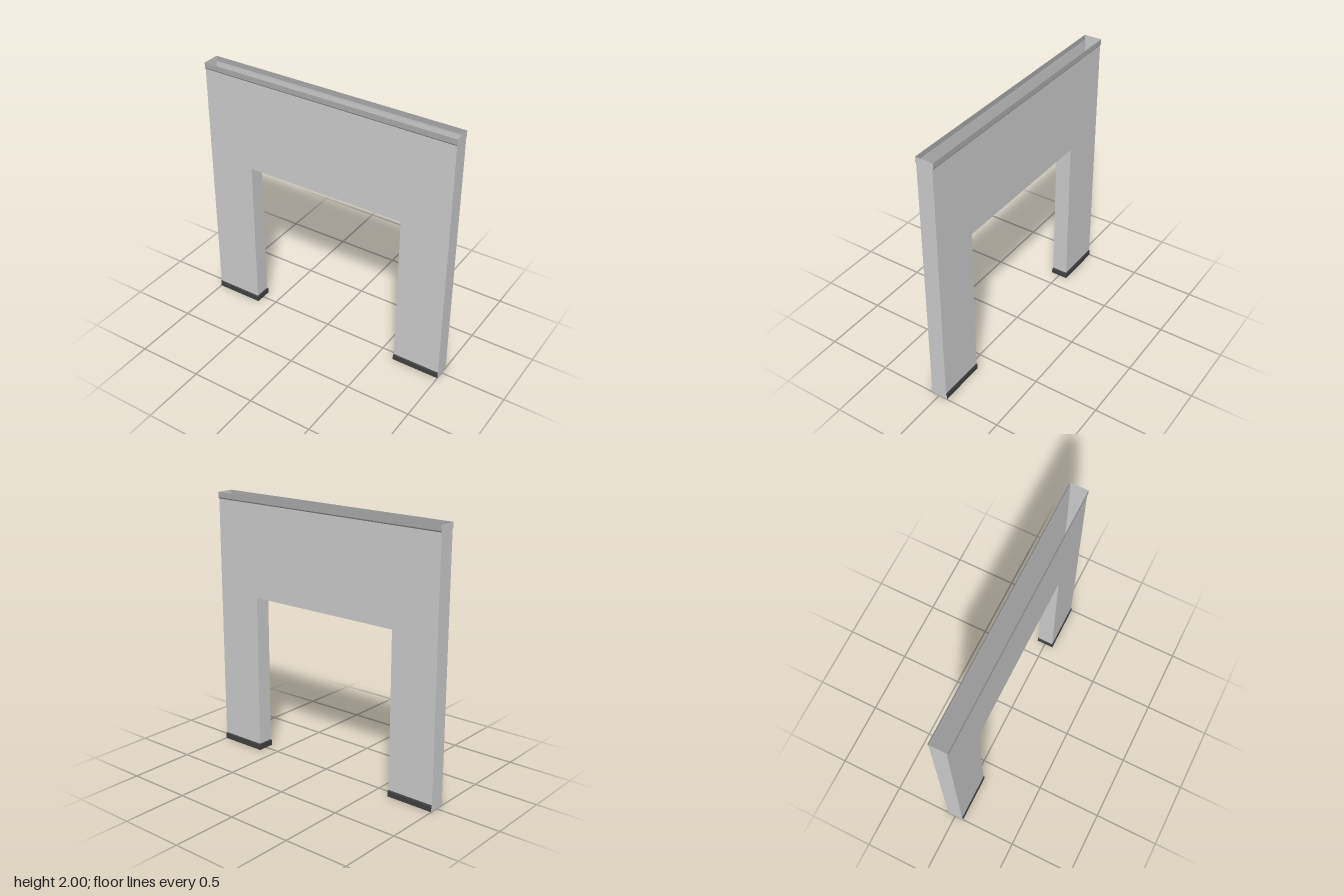
import * as THREE from 'three';

const WALL = 0.062, BAND = 0.068;       // half depths of wall and trim
const LEG = 0.63, ARCH = 1.24;          // opening half width and height
const TRIM = 0.05, BEVEL = 0.01;        // trim height and its bevel

const material = (color) =>
  new THREE.MeshStandardMaterial({ color, side: THREE.DoubleSide, flatShading: true });

// Open sheet through rows of [x, y, z] points
function sheet(name, mat, rows) {
  const pos = [];
  for (let r = 0; r < rows.length - 1; r++) {
    const a = rows[r], b = rows[r + 1];
    for (let i = 0; i < a.length - 1; i++) {
      pos.push(...a[i], ...a[i + 1], ...b[i + 1], ...a[i], ...b[i + 1], ...b[i]);
    }
  }
  const geo = new THREE.BufferGeometry();
  geo.setAttribute('position', new THREE.Float32BufferAttribute(pos, 3));
  geo.computeVertexNormals();
  const mesh = new THREE.Mesh(geo, mat);
  mesh.name = name;
  return mesh;
}

export function createModel() {
  const model = new THREE.Group();
  model.name = 'archWall';
  const grey = material(0xcccccc), topGrey = material(0xaaaaaa), dark = material(0x404040);

  // Wall face outline with the doorway cut out
  const face = new THREE.Shape([
    [-1, TRIM], [-LEG, TRIM], [-LEG, ARCH], [LEG, ARCH], [LEG, TRIM],
    [1, TRIM], [1, 2 - TRIM], [-1, 2 - TRIM],
  ].map(([x, y]) => new THREE.Vector2(x, y)));

  // Each half turn gives one face, one end and one leg
  for (let k = 0; k < 2; k++) {
    const half = new THREE.Group();
    half.name = k ? 'backRightHalf' : 'frontLeftHalf';
    half.rotation.y = k * Math.PI;

    const wall = new THREE.Mesh(new THREE.ShapeGeometry(face), grey);
    wall.name = 'wallFace';
    wall.position.z = WALL;
    half.add(wall);

    // Trim along the top edge
    half.add(sheet('topTrim', topGrey,
      [[2 - TRIM, WALL], [2 - TRIM + BEVEL, BAND], [2, BAND]]
        .map(([y, z]) => [[-1, y, z], [1, y, z]])));

    // End panel following the trim profile
    half.add(sheet('endPanel', grey,
      [[0, BAND], [TRIM - BEVEL, BAND], [TRIM, WALL],
        [2 - TRIM, WALL], [2 - TRIM + BEVEL, BAND], [2, BAND]]
        .map(([y, z]) => [[1, y, z], [1, y, -z]])));

    // Side of the doorway
    half.add(sheet('jamb', grey,
      [TRIM, ARCH].map((y) => [[LEG, y, -WALL], [LEG, y, WALL]])));

    // Dark trim around three sides of the foot
    half.add(sheet('baseTrim', dark,
      [[0, BAND], [TRIM - BEVEL, BAND], [TRIM, WALL]].map(([y, z]) => {
        const x = LEG - (z - WALL);
        return [[1, y, -z], [x, y, -z], [x, y, z], [1, y, z]];
      })));

    model.add(half);
  }

  // Underside of the lintel
  model.add(sheet('soffit', grey,
    [-WALL, WALL].map((z) => [[-LEG, ARCH, z], [LEG, ARCH, z]])));

  return model;
}
